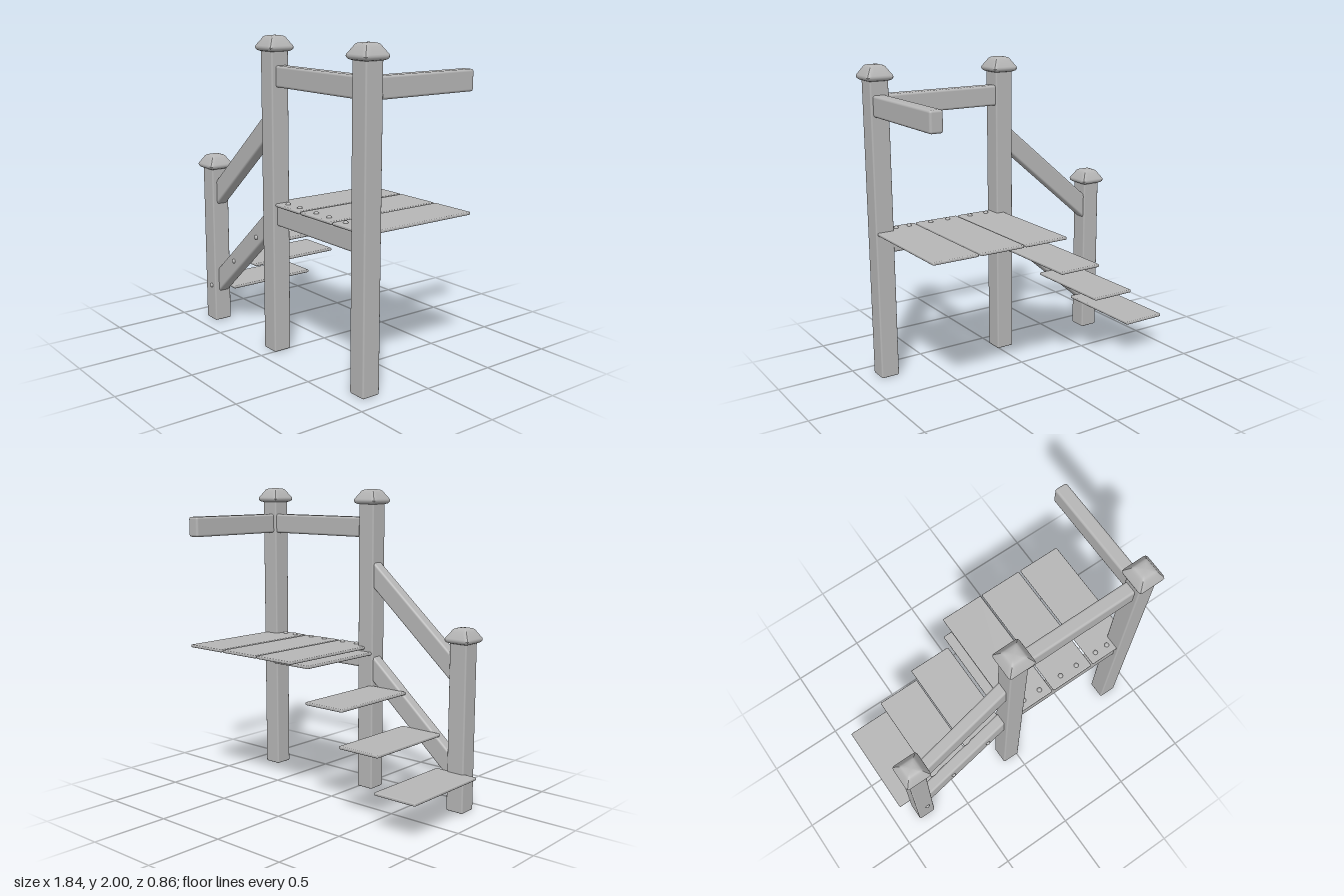
import * as THREE from 'three';
import { RoundedBoxGeometry } from 'three/addons/geometries/RoundedBoxGeometry.js';
import { toCreasedNormals } from 'three/addons/utils/BufferGeometryUtils.js';

const grey = new THREE.MeshStandardMaterial({ color: 0xb6b6b6 });
grey.name = 'plainGrey';

// Rounded block given by its limits on each axis
function block(name, [x0, x1], [y0, y1], [z0, z1], radius) {
  const mesh = new THREE.Mesh(new RoundedBoxGeometry(x1 - x0, y1 - y0, z1 - z0, 3, radius), grey);
  mesh.position.set((x0 + x1) / 2, (y0 + y1) / 2, (z0 + z1) / 2);
  mesh.name = name;
  return mesh;
}

// Sloping beam centred between two points in the railing plane
function slopedBeam(name, x0, y0, x1, y1) {
  const length = Math.hypot(x1 - x0, y1 - y0);
  const mesh = new THREE.Mesh(new RoundedBoxGeometry(length, 0.128, 0.08, 3, 0.015), grey);
  mesh.position.set((x0 + x1) / 2, (y0 + y1) / 2, 0.33);
  mesh.rotation.z = Math.atan2(y1 - y0, x1 - x0);
  mesh.name = name;
  return mesh;
}

// Square post cap: a lathe pushed out to a round-cornered square
function capGeometry() {
  const profile = [
    [0, 0], [0.066, 0], [0.079, 0.005], [0.086, 0.013], [0.089, 0.023], [0.086, 0.033],
    [0.06, 0.071], [0.053, 0.083], [0.044, 0.09], [0.028, 0.094], [0, 0.096],
  ].map(([x, y]) => new THREE.Vector2(x, y));
  const geometry = new THREE.LatheGeometry(profile, 64);
  const p = geometry.attributes.position;
  for (let i = 0; i < p.count; i++) {
    const x = p.getX(i), z = p.getZ(i), r = Math.hypot(x, z);
    if (r < 1e-6) continue;
    const k = 1 / Math.pow(Math.abs(x / r) ** 12 + Math.abs(z / r) ** 12, 1 / 12);
    p.setX(i, x * k);
    p.setZ(i, z * k);
  }
  return toCreasedNormals(geometry, 0.6);
}

export function createModel() {
  const model = new THREE.Group();
  model.name = 'stairsWithPlatform';

  // Posts with caps
  const cap = capGeometry();
  for (const [x, top] of [[-0.78, 1.17], [-0.05, 2], [0.83, 2]]) {
    const post = new THREE.Group();
    post.name = 'post';
    post.add(block('postShaft', [x - 0.061, x + 0.061], [0, top - 0.08], [0.279, 0.401], 0.01));
    const capMesh = new THREE.Mesh(cap, grey);
    capMesh.position.set(x, top - 0.096, 0.34);
    capMesh.name = 'postCap';
    post.add(capMesh);
    model.add(post);
  }

  // Level rails and deck beam
  model.add(block('frontRail', [-0.03, 0.81], [1.69, 1.82], [0.288, 0.372], 0.015));
  model.add(block('deckBeam', [-0.03, 0.81], [0.828, 0.957], [0.288, 0.372], 0.015));
  model.add(block('sideRail', [0.79, 0.875], [1.69, 1.82], [-0.425, 0.32], 0.015));

  // Sloping handrail and stringer
  model.add(slopedBeam('handrail', -0.775, 0.87, -0.055, 1.492));
  model.add(slopedBeam('stringer', -0.775, 0.248, -0.055, 0.87));

  // Deck planks
  for (const x of [-0.045, 0.266, 0.58]) {
    model.add(block('deckPlank', [x, x + 0.3], [0.953, 0.972], [-0.428, 0.384], 0.007));
  }

  // Stair treads
  for (let i = 0; i < 4; i++) {
    const x = -0.925 + i * 0.274, y = 0.246 + i * 0.228;
    model.add(block('stairTread', [x, x + 0.298], [y - 0.01, y + 0.01], [-0.335, 0.3], 0.007));
  }

  // Domed bolt heads on the deck and along the stringer
  const dome = new THREE.SphereGeometry(0.016, 16, 6, 0, Math.PI * 2, 0, Math.PI / 2);
  for (const x of [0.068, 0.19, 0.358, 0.483, 0.638, 0.73]) {
    const bolt = new THREE.Mesh(dome, grey);
    bolt.position.set(x, 0.97, 0.33);
    bolt.name = 'deckBolt';
    model.add(bolt);
  }
  for (const [x, y, z] of [[-0.765, 0.247, 0.398], [-0.517, 0.475, 0.367], [-0.237, 0.702, 0.367]]) {
    const bolt = new THREE.Mesh(dome, grey);
    bolt.position.set(x, y, z);
    bolt.rotation.x = Math.PI / 2;
    bolt.name = 'stringerBolt';
    model.add(bolt);
  }
  return model;
}
